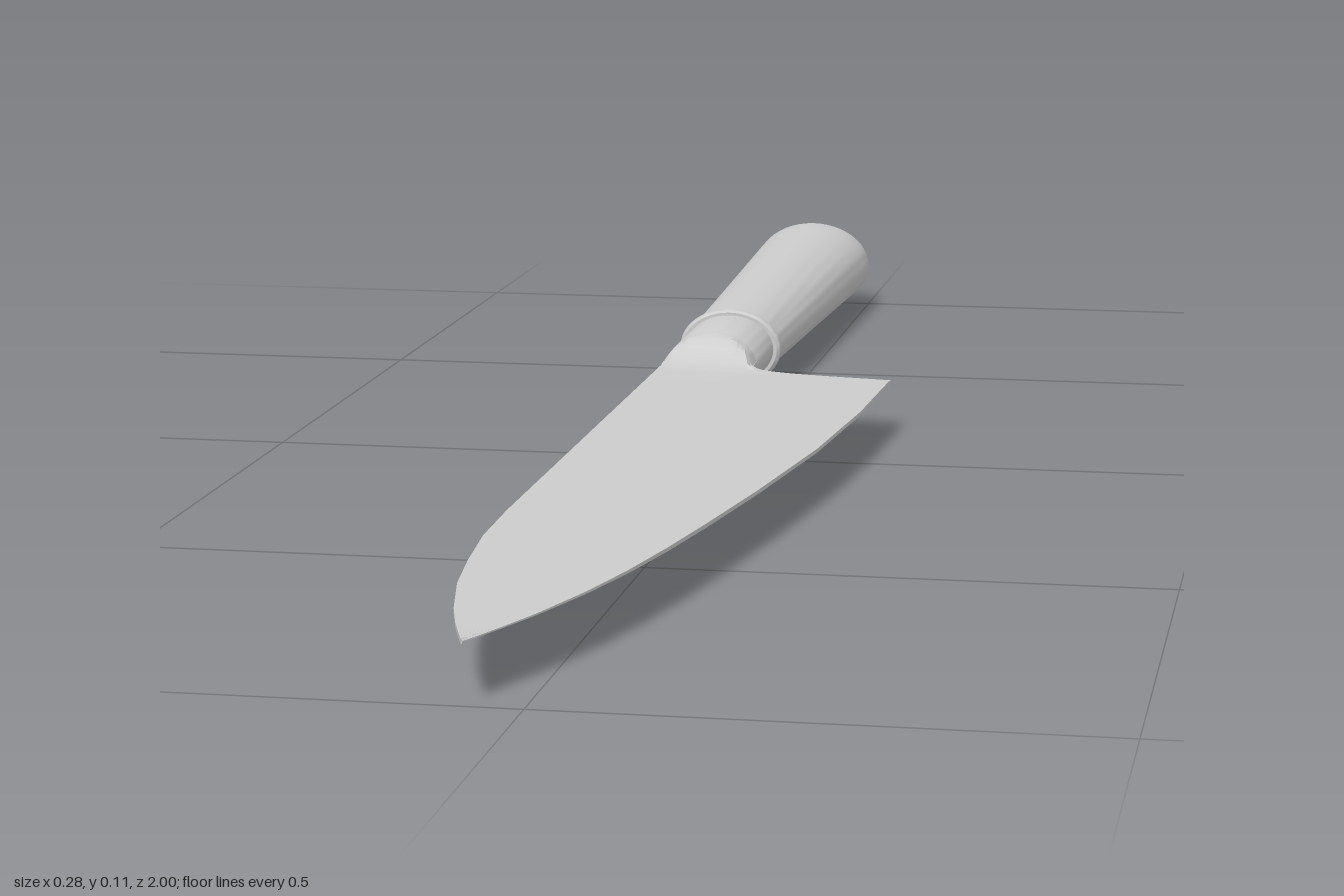
import * as THREE from 'three';
import { toCreasedNormals } from 'three/addons/utils/BufferGeometryUtils.js';

const AXIS_X = -0.07, AXIS_Y = 0.055;
const material = new THREE.MeshStandardMaterial({ color: 0xcccccc });

// Oval turned part lying along z; profile is [radius, z] from back to front
function turned(name, profile, squash) {
  const points = profile.map(([r, z]) => new THREE.Vector2(r, z));
  const lathe = new THREE.LatheGeometry(points, 48);
  lathe.rotateX(Math.PI / 2).scale(1, squash, 1).translate(AXIS_X, AXIS_Y, 0);
  const mesh = new THREE.Mesh(toCreasedNormals(lathe, 0.5), material);
  mesh.name = name;
  return mesh;
}

// Blade outline: z, spine x, edge x
const outline = [
  [-0.247, -0.12, -0.02], [-0.24, -0.12, -0.02], [-0.23, -0.12, -0.02], [-0.22, -0.12, -0.019],
  [-0.21, -0.12, -0.015], [-0.2, -0.12, -0.006], [-0.194, -0.12, 0.006], [-0.188, -0.12, 0.03],
  [-0.184, -0.12, 0.07], [-0.18, -0.12, 0.14], [-0.165, -0.12, 0.139], [0, -0.12, 0.133],
  [0.2, -0.12, 0.117], [0.4, -0.12, 0.091], [0.55, -0.12, 0.068], [0.65, -0.118, 0.051],
  [0.74, -0.11, 0.033], [0.82, -0.1, 0.013], [0.9, -0.083, -0.012], [0.95, -0.069, -0.031],
  [1, -0.052, -0.051],
];

// Half thickness: a wedge from spine to edge that swells into the oval neck
function halfThickness(x, z, spine, edge) {
  const fullEdge = z < -0.18 ? 0.14 : edge;
  const u = (x - spine) / (fullEdge - spine);
  const taper = 1 - 0.7 * THREE.MathUtils.smoothstep(z, 0.55, 1);
  const wedge = THREE.MathUtils.lerp(0.0075, 0.002, u) * taper;
  const t = THREE.MathUtils.clamp((z + 0.24) / 0.075, 0, 1);
  const fillet = 0.038 * (1 - t) ** 2.5;
  const oval = 0.038 * Math.sqrt(Math.max(0, 1 - ((x - AXIS_X) / 0.05) ** 2));
  return Math.max(wedge, Math.min(oval, wedge + fillet));
}

function bladeGeometry() {
  const n = 24, ring = 2 * (n + 1);
  const positions = [], index = [];
  // Cross-sections: upper face from spine to edge, then lower face back
  for (const [z, spine, edge] of outline) {
    for (let k = 0; k < ring; k++) {
      const i = k <= n ? k : ring - 1 - k;
      const x = spine + (edge - spine) * (1 - Math.cos(Math.PI * i / n)) / 2;
      const h = halfThickness(x, z, spine, edge);
      positions.push(x, AXIS_Y + (k <= n ? h : -h), z);
    }
  }
  for (let s = 0; s < outline.length - 1; s++) {
    for (let k = 0; k < ring; k++) {
      const a = s * ring + k, b = s * ring + (k + 1) % ring;
      index.push(a, a + ring, b, b, a + ring, b + ring);
    }
  }
  // End caps
  const last = (outline.length - 1) * ring;
  for (let k = 0; k < n; k++) {
    const m = ring - 1 - k;
    index.push(k, k + 1, m, k + 1, m - 1, m);
    index.push(last + k, last + m, last + k + 1, last + k + 1, last + m, last + m - 1);
  }
  const geometry = new THREE.BufferGeometry();
  geometry.setAttribute('position', new THREE.Float32BufferAttribute(positions, 3));
  geometry.setIndex(index);
  return toCreasedNormals(geometry, 0.6);
}

export function createModel() {
  const knife = new THREE.Group();
  knife.name = 'kitchenKnife';

  const blade = new THREE.Mesh(bladeGeometry(), material);
  blade.name = 'blade';
  knife.add(blade);

  // Flared grip with a shallow domed butt
  knife.add(turned('handle', [
    [0, -1], [0.025, -0.999], [0.048, -0.995], [0.066, -0.988], [0.071, -0.985],
    [0.073, -0.978], [0.072, -0.94], [0.063, -0.66], [0.054, -0.365], [0, -0.365],
  ], 0.74));

  // Raised ring between grip and bolster
  knife.add(turned('collarRing', [
    [0, -0.368], [0.055, -0.368], [0.058, -0.365], [0.059, -0.36],
    [0.058, -0.355], [0.055, -0.352], [0, -0.352],
  ], 0.76));

  knife.add(turned('bolster', [
    [0, -0.36], [0.051, -0.36], [0.0505, -0.247], [0.049, -0.243], [0, -0.243],
  ], 0.76));

  return knife;
}
